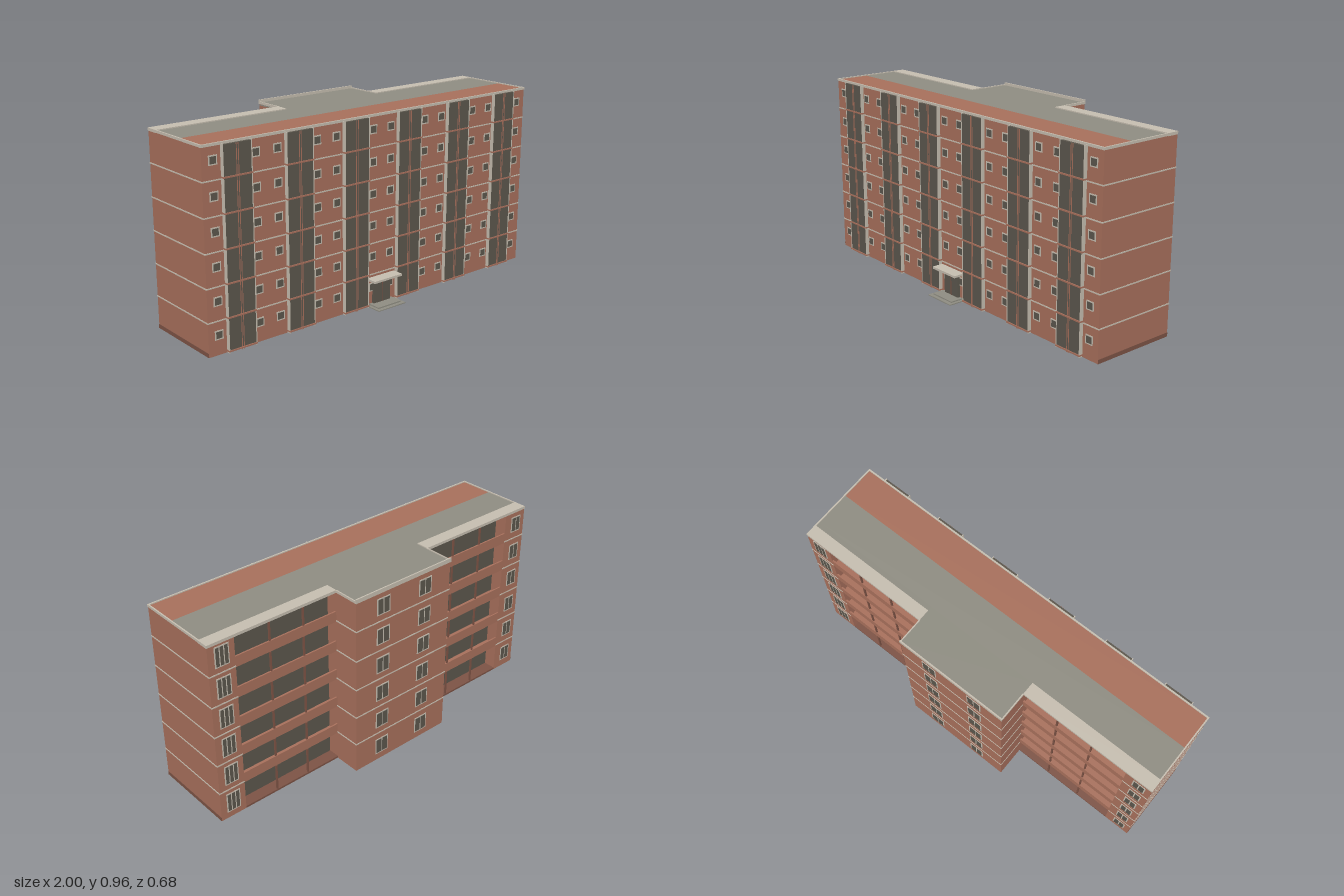
import * as THREE from 'three';

const mat = (name, color) => {
  const m = new THREE.MeshStandardMaterial({ color });
  m.name = name;
  return m;
};

export function createModel() {
  const brick = mat('brick', 0xa8705c);
  const cream = mat('cream trim', 0xc6beb0);
  const glass = mat('dark glazing', 0x5c574d);
  const roofGrey = mat('roof grey', 0x8f8d82);
  const plinth = mat('plinth brown', 0x7d5345);

  const root = new THREE.Group();
  root.name = 'apartmentBlock';

  // box given by its minimum and maximum on each axis
  const box = (name, m, x0, x1, y0, y1, z0, z1, parent = root) => {
    const mesh = new THREE.Mesh(new THREE.BoxGeometry(x1 - x0, y1 - y0, z1 - z0), m);
    mesh.position.set((x0 + x1) / 2, (y0 + y1) / 2, (z0 + z1) / 2);
    mesh.name = name;
    parent.add(mesh);
    return mesh;
  };

  // framed window on a wall at z, facing dir (+1 front, -1 back)
  const windowUnit = (name, x, y, z, w, h, panes, dir) => {
    const g = new THREE.Group();
    g.name = name;
    const t = 0.006, pw = (w - t * (panes + 1)) / panes;
    const plate = (n, m, a, b, c, d, depth) =>
      box(n, m, a, b, c, d, Math.min(z, z + dir * depth), Math.max(z, z + dir * depth), g);
    plate('frame', cream, x - w / 2, x + w / 2, y - h / 2, y + h / 2, 0.002);
    for (let i = 0; i < panes; i++) {
      const a = x - w / 2 + t + i * (pw + t);
      plate('pane', glass, a, a + pw, y - h / 2 + t, y + h / 2 - t, 0.003);
    }
    root.add(g);
  };

  const FLOORS = 6, FH = 0.1585, TOP = 0.945, FRONT = 0.248, T = 0.012;
  const BACK = -0.335, PL = -0.29, PR = 0.3;
  // rear wings: outer x, inner x, rear z, recessed loggia z
  const wings = [
    { s: 1, inner: PR, z: -0.198, deep: -0.138 },
    { s: -1, inner: PL, z: -0.178, deep: -0.113 },
  ];

  // outer shell, open below
  box('frontWall', brick, -0.998, 0.998, 0, TOP, FRONT - T, FRONT);
  box('rearBlockWall', brick, PL, PR, 0, TOP, BACK, BACK + T);
  for (const { s, inner, z } of wings) {
    const xo = s * 0.998, xi = s * (0.998 - T);
    box('endWall', brick, Math.min(xo, xi), Math.max(xo, xi), 0, TOP, z, FRONT);
    box('endPlinth', plinth, s * 0.9985 - 0.001, s * 0.9985 + 0.001, 0, 0.02, z, FRONT);
    const ri = inner - s * T;
    box('rearBlockSide', brick, Math.min(inner, ri), Math.max(inner, ri), 0, TOP, BACK, -0.1);
  }

  // roof in coloured strips
  box('roofFrontStrip', brick, -0.994, 0.994, 0.935, 0.95, 0.07, FRONT - 0.004);
  box('roofMain', roofGrey, -0.994, 0.994, 0.935, 0.95, -0.113, 0.07);
  box('roofRear', roofGrey, PL, PR, 0.935, 0.95, BACK, -0.113);
  box('roofRightInfill', roofGrey, PR, 0.994, 0.935, 0.95, -0.138, -0.113);

  // cream copings around the roof edge
  box('frontCoping', cream, -1, 1, 0.943, 0.955, FRONT - 0.005, 0.251);
  box('rearCoping', cream, PL - 0.003, PR + 0.003, 0.943, 0.964, -0.338, -0.331);
  for (const { s, inner, z, deep } of wings) {
    const e = s * 0.9965;
    box('endCoping', cream, e - 0.0035, e + 0.0035, 0.943, 0.955, z, 0.251);
    box('rearBlockCoping', cream, inner - 0.003, inner + 0.003, 0.943, 0.955, BACK, z);
    box('loggiaRoof', cream, Math.min(inner, s), Math.max(inner, s), 0.941, 0.955, z - 0.002, deep);
  }

  // string courses at every upper floor
  for (let k = 1; k < FLOORS; k++) {
    const a = k * FH - 0.001, b = a + 0.006;
    box('frontBand', cream, -1, 1, a, b, FRONT - T - 0.002, FRONT + 0.002);
    box('rearBand', cream, PL - 0.002, PR + 0.002, a, b, -0.337, -0.333);
    for (const { s, inner, z } of wings) {
      const e = s * 0.998;
      box('endBand', cream, e - 0.002, e + 0.002, a, b, z - 0.002, FRONT + 0.002);
      box('rearSideBand', cream, inner - 0.002, inner + 0.002, a, b, BACK, z);
      box('pierBand', cream, Math.min(s * 0.86, e), Math.max(s * 0.86, e), a, b, z - 0.002, z + 0.002);
    }
  }

  // small front windows, in pairs between the glazed bays
  const frontX = [0.055, 0.278, 0.39, 0.61, 0.725, 0.943];
  for (let k = 0; k < FLOORS; k++)
    for (const x of frontX)
      for (const s of [-1, 1])
        windowUnit('frontWindow', s * x, k * 0.1575 + 0.095, FRONT, 0.044, 0.044, 1, 1);

  // glazed front bays with cream posts and brick sills
  for (const c of [0.167, 0.497, 0.829]) for (const s of [-1, 1]) {
    const x = s * c, g = new THREE.Group();
    g.name = 'glazedBay';
    root.add(g);
    box('bayGlazing', glass, x - 0.071, x + 0.071, 0.004, 0.944, FRONT, 0.264, g);
    for (const d of [-0.073, 0.073])
      box('bayPost', cream, x + d - 0.002, x + d + 0.002, 0, 0.948, FRONT - T - 0.002, 0.266, g);
    for (const d of [-0.005, 0.005])
      box('bayMullion', brick, x + d - 0.0015, x + d + 0.0015, 0, 0.944, 0.262, 0.266, g);
    for (let k = 0; k < FLOORS; k++)
      box('baySill', brick, x - 0.076, x + 0.076, k * FH + 0.006, k * FH + 0.013, FRONT, 0.269, g);
  }

  // entrance
  box('entranceDoor', glass, -0.055, 0.05, 0.01, 0.128, FRONT, 0.262);
  box('doorMullion', plinth, -0.004, -0.001, 0.01, 0.128, 0.262, 0.264);
  box('entranceCanopy', cream, -0.09, 0.085, 0.135, 0.146, FRONT, 0.308);
  box('lowerStep', roofGrey, -0.09, 0.085, 0, 0.005, FRONT, 0.338);
  box('upperStep', roofGrey, -0.075, 0.07, 0.005, 0.011, FRONT, 0.318);

  // rear block windows
  for (let k = 0; k < FLOORS; k++)
    for (const x of [-0.128, 0.135])
      windowUnit('rearWindow', x, k * FH + 0.08, BACK, 0.08, 0.088, 2, -1);

  // rear wings: window pier and open loggias
  for (const { s, inner, z, deep } of wings) {
    const edge = s * 0.86, lo = Math.min(inner, edge), hi = Math.max(inner, edge);
    const po = s * 0.998;
    box('windowPier', brick, Math.min(edge, po), Math.max(edge, po), 0, TOP, z, z + T);
    const ei = edge + s * T;
    box('loggiaCheek', brick, Math.min(edge, ei), Math.max(edge, ei), 0, TOP, z, deep + T);
    box('loggiaGlazing', glass, lo, hi, 0, TOP, deep, deep + 0.008);
    box('groundSlab', plinth, lo, hi, 0, 0.01, z, deep);
    for (let k = 0; k < FLOORS; k++) {
      const y = k * FH;
      if (k > 0) {
        box('loggiaFloor', brick, lo, hi, y - 0.004, y + 0.006, z, deep);
        box('loggiaParapet', brick, lo, hi, y - 0.004, y + 0.05, z, z + 0.008);
      }
      // mullions against the recessed glazing
      for (let i = 1; i < 3; i++) {
        const x = inner + (edge - inner) * i / 3;
        box('loggiaPost', plinth, x - 0.004, x + 0.004, y, y + 0.15, z + 0.002, z + 0.01);
      }
      if (s > 0) windowUnit('wingTripleWindow', 0.927, y + 0.085, z, 0.075, 0.105, 3, -1);
      else windowUnit('wingWindow', -0.937, y + 0.082, z, 0.066, 0.085, 2, -1);
    }
  }
  return root;
}
